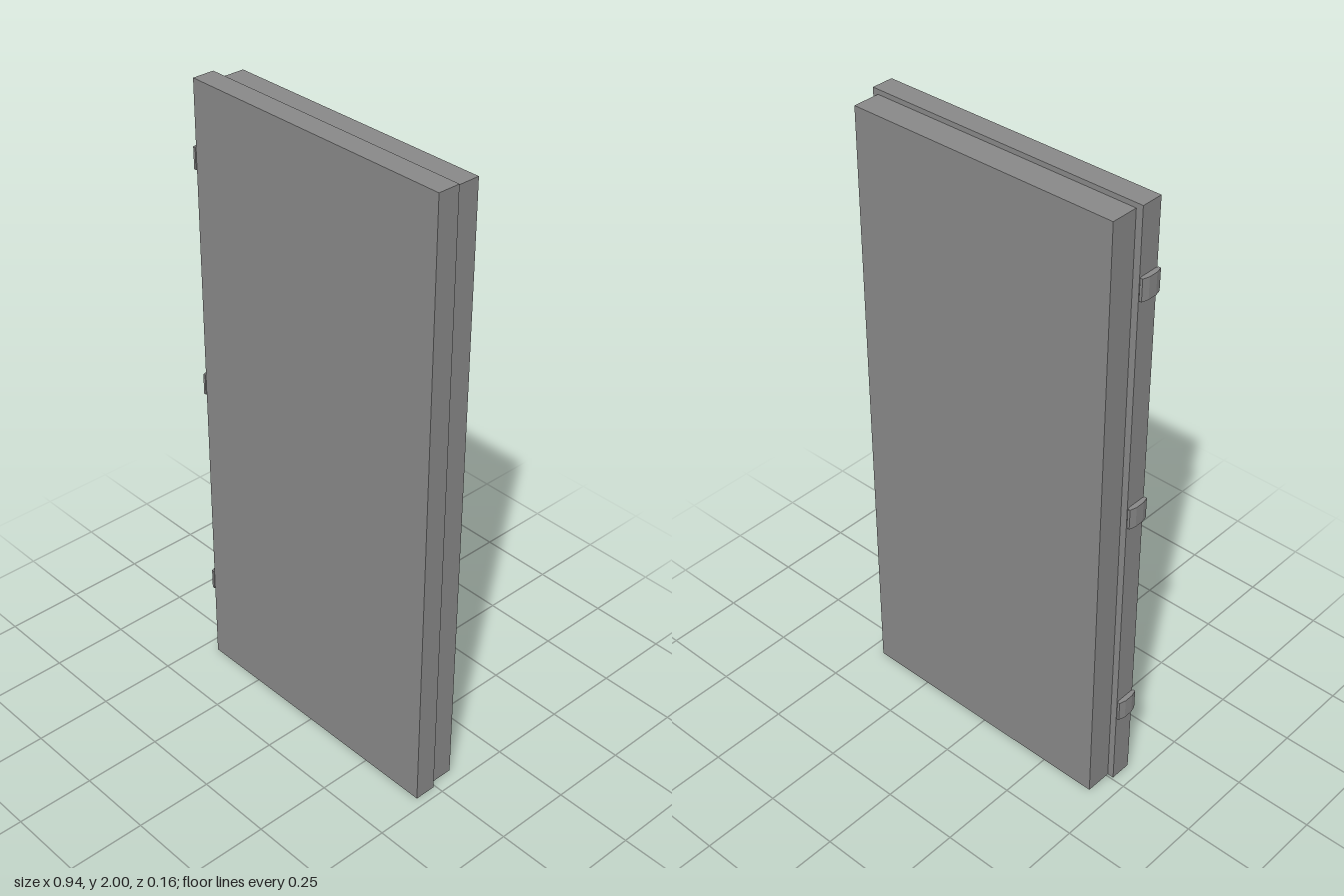
import * as THREE from 'three';

const material = new THREE.MeshStandardMaterial({ color: 0x888888, flatShading: true });

// Box given by its lower and upper corners
function slab(name, [x0, y0, z0], [x1, y1, z1]) {
  const mesh = new THREE.Mesh(new THREE.BoxGeometry(x1 - x0, y1 - y0, z1 - z0), material);
  mesh.position.set((x0 + x1) / 2, (y0 + y1) / 2, (z0 + z1) / 2);
  mesh.name = name;
  return mesh;
}

export function createModel() {
  const door = new THREE.Group();
  door.name = 'door';

  // Wide outer leaf overlapping the slightly smaller inner leaf
  door.add(slab('outerLeaf', [-0.454, 0, 0.007], [0.47, 2, 0.077]));
  door.add(slab('innerLeaf', [-0.433, 0, -0.08], [0.452, 1.985, 0.007]));

  // Three flattened eight-sided hinge knuckles along one edge, flats facing front and side
  const knuckle = new THREE.CylinderGeometry(1, 1, 0.068, 8);
  knuckle.rotateY(Math.PI / 8);
  knuckle.scale(0.0105, 1, 0.039);
  [0.29, 1.026, 1.762].forEach((y, i) => {
    const hinge = new THREE.Mesh(knuckle, material);
    hinge.position.set(-0.46, y, 0.043);
    hinge.name = `hinge${i + 1}`;
    door.add(hinge);
  });

  return door;
}
